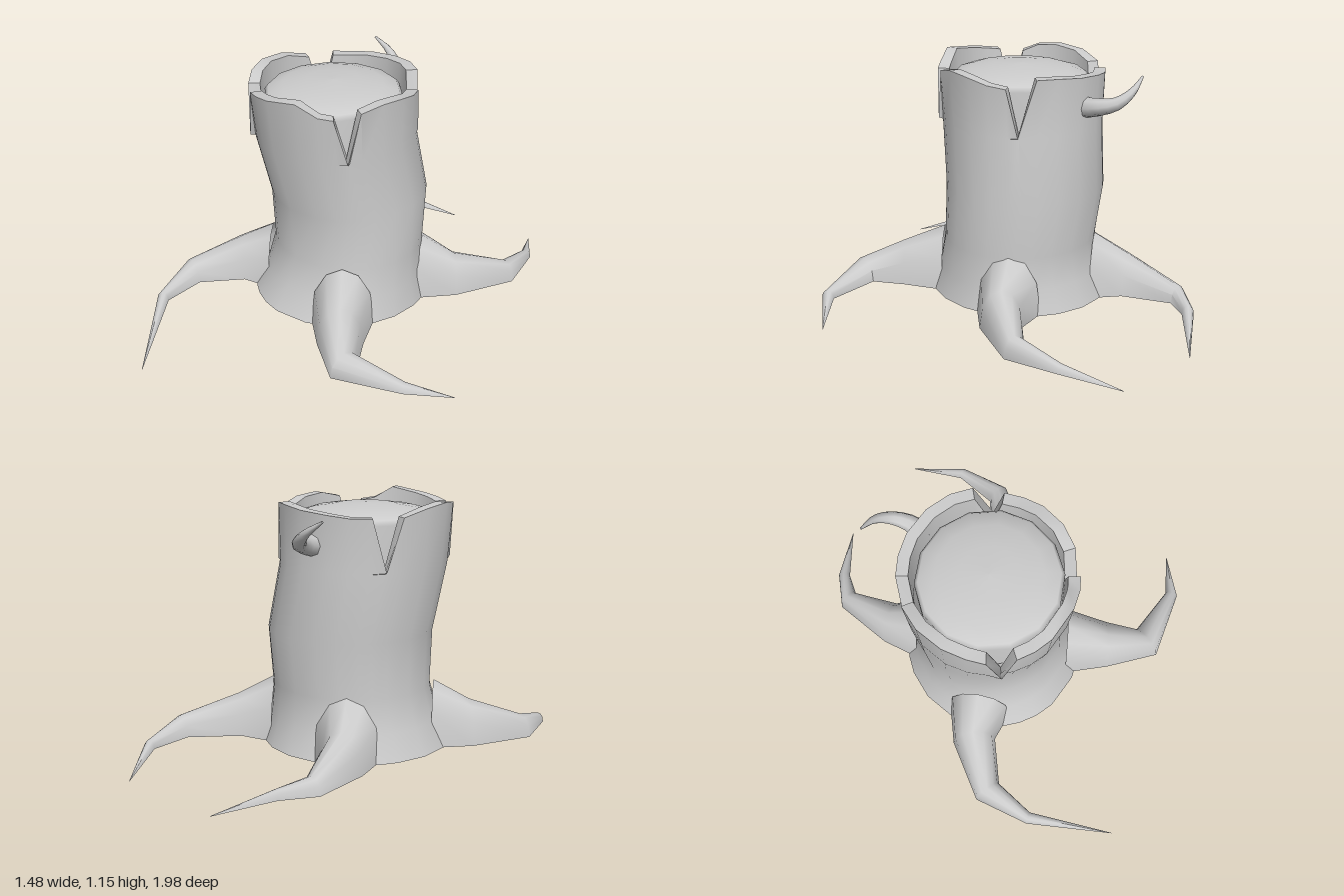
import * as THREE from 'three';
import { toCreasedNormals } from 'three/addons/utils/BufferGeometryUtils.js';

const material = new THREE.MeshStandardMaterial({ color: 0xcccccc, side: THREE.DoubleSide });

function part(name, geometry) {
  const mesh = new THREE.Mesh(geometry, material);
  mesh.name = name;
  return mesh;
}

// Skin a list of equally long closed rings of [x, y, z] points.
function skin(rings, closed, crease) {
  const n = rings[0].length, index = [];
  const last = closed ? rings.length : rings.length - 1;
  for (let i = 0; i < last; i++) {
    const k = (i + 1) % rings.length;
    for (let j = 0; j < n; j++) {
      const m = (j + 1) % n;
      index.push(i * n + j, i * n + m, k * n + m, i * n + j, k * n + m, k * n + j);
    }
  }
  const g = new THREE.BufferGeometry();
  g.setAttribute('position', new THREE.Float32BufferAttribute(rings.flat(2), 3));
  g.setIndex(index);
  return toCreasedNormals(g, crease);
}

// Bark: [height, centre x, centre z, radius x, radius z, thickness]
const levels = [
  [0.11, -0.19, -0.025, 0.4, 0.405, 0.035],
  [0.22, -0.18, -0.035, 0.365, 0.355, 0.035],
  [0.36, -0.17, -0.045, 0.345, 0.325, 0.035],
  [0.6, -0.18, -0.06, 0.348, 0.347, 0.035],
  [0.88, -0.207, -0.01, 0.348, 0.355, 0.045],
  [1.1, -0.207, 0, 0.36, 0.37, 0.05],
];
// Broken rim: [angle from the front, height]; the low ones are the splits
const rim = [
  [0, 1.13], [23, 1.15], [38, 1.1], [48, 1.09], [57, 0.885],
  [66, 1.11], [82, 1.13], [100, 1.12], [114, 1.1], [127, 1.09], [135, 0.885],
  [147, 1.13], [162, 1.13], [180, 1.12], [200, 1.11], [215, 1.1], [229, 1.1], [238, 0.885],
  [249, 1.1], [268, 1.13], [288, 1.14], [304, 1.13], [316, 1.1], [325, 0.885],
  [335, 1.11], [347, 1.12],
];

function barkRing(level, inner) {
  const [y, cx, cz, rx, rz, thick] = level;
  const t = inner ? thick : 0;
  return rim.map(([deg, top]) => {
    const a = THREE.MathUtils.degToRad(deg);
    return [cx + (rx - t) * Math.sin(a), y > 1 ? top : y, cz + (rz - t) * Math.cos(a)];
  });
}

// Roots: stations of [x, z, half width, ridge height, underside height]
const roots = {
  frontRightRoot: [
    [-0.45, 0.17, 0.14, 0.37, 0.11], [-0.57, 0.265, 0.095, 0.29, 0.11],
    [-0.68, 0.48, 0.062, 0.2, 0.11], [-0.625, 0.69, 0.026, 0.145, 0.105], [-0.38, 0.985, 0.001, 0.002, 0],
  ],
  frontLeftRoot: [
    [0.06, 0.21, 0.14, 0.37, 0.11], [0.19, 0.345, 0.1, 0.29, 0.11],
    [0.34, 0.46, 0.075, 0.2, 0.11], [0.6, 0.37, 0.028, 0.145, 0.11], [0.735, 0.21, 0.001, 0.06, 0.058],
  ],
  backLeftRoot: [
    [0.08, -0.25, 0.14, 0.37, 0.11], [0.21, -0.35, 0.09, 0.28, 0.11],
    [0.335, -0.575, 0.05, 0.2, 0.11], [0.285, -0.785, 0.024, 0.145, 0.11], [0.14, -0.99, 0.001, 0.06, 0.058],
  ],
  backRightRoot: [
    [-0.39, -0.295, 0.14, 0.37, 0.11], [-0.485, -0.42, 0.09, 0.28, 0.11],
    [-0.56, -0.65, 0.045, 0.18, 0.11], [-0.495, -0.765, 0.026, 0.145, 0.105], [-0.31, -0.94, 0.001, 0.03, 0.028],
  ],
};

function rootGeometry(path) {
  const sides = 6;
  const rings = path.map(([x, z, w, top, low], i) => {
    // direction across the path
    const a = path[Math.max(i - 1, 0)], b = path[Math.min(i + 1, path.length - 1)];
    const t = new THREE.Vector2(b[0] - a[0], b[1] - a[1]).normalize();
    const ring = [];
    for (let j = 0; j <= sides; j++) {
      const phi = Math.PI * j / sides, across = w * Math.cos(phi);
      const up = Math.pow(Math.max(Math.sin(phi), 0), 0.85);
      ring.push([x + t.y * across, low + (top - low) * up, z - t.x * across]);
    }
    return ring;
  });
  return skin(rings, false, 1.0);
}

// Short curled branch: a tube narrowed towards its tip
function branchGeometry() {
  const curve = new THREE.CatmullRomCurve3([
    [-0.25, 0.98, -0.32], [-0.265, 0.995, -0.41], [-0.31, 1.015, -0.475],
    [-0.375, 1.06, -0.5], [-0.45, 1.11, -0.485],
  ].map((p) => new THREE.Vector3(...p)));
  const steps = 10, sides = 8;
  const g = new THREE.TubeGeometry(curve, steps, 0.048, sides);
  const pos = g.attributes.position, v = new THREE.Vector3();
  for (let i = 0; i <= steps; i++) {
    const c = curve.getPointAt(i / steps);
    const s = 1 - 0.9 * Math.pow(i / steps, 1.1);
    for (let j = 0; j <= sides; j++) {
      const k = i * (sides + 1) + j;
      v.fromBufferAttribute(pos, k).sub(c).multiplyScalar(s).add(c);
      pos.setXYZ(k, v.x, v.y, v.z);
    }
  }
  return g;
}

export function createModel() {
  const group = new THREE.Group();
  group.name = 'treeStump';

  // Bark shell: up the outside, over the rim, down the inside
  const rings = [
    ...levels.map((l) => barkRing(l, false)),
    ...levels.slice().reverse().map((l) => barkRing(l, true)),
  ];
  group.add(part('bark', skin(rings, true, 0.8)));

  // Domed wood core inside the bark
  const profile = [[0.3, 0.8], [0.3, 1.06], [0.285, 1.08], [0.22, 1.1], [0.12, 1.115], [0, 1.12]];
  const core = part('woodCore', new THREE.LatheGeometry(profile.map((p) => new THREE.Vector2(...p)), 14));
  core.position.set(-0.205, 0, 0.005);
  group.add(core);

  for (const [name, path] of Object.entries(roots)) group.add(part(name, rootGeometry(path)));
  group.add(part('branch', branchGeometry()));
  return group;
}
